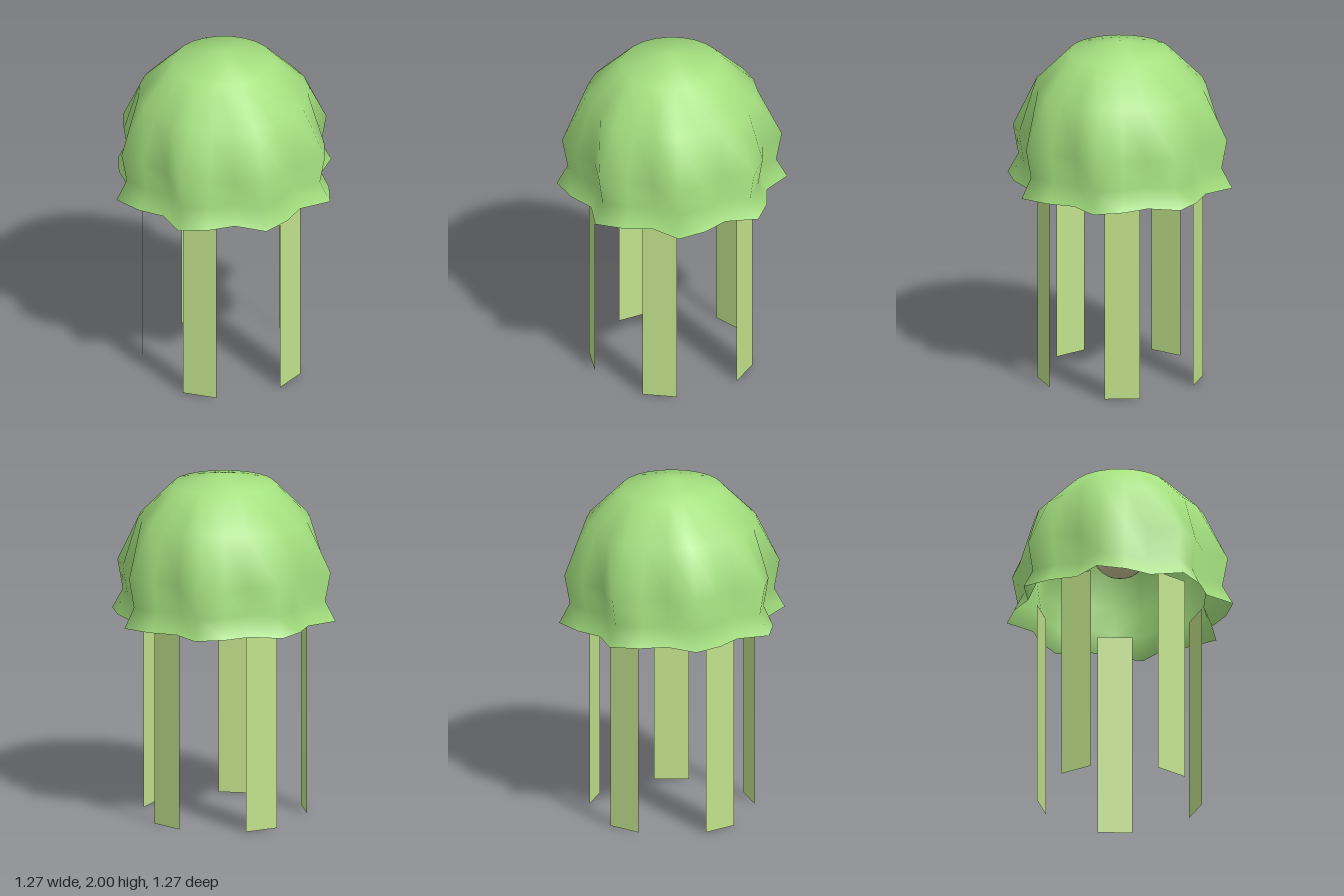
import * as THREE from 'three';
import { mergeVertices } from 'three/addons/utils/BufferGeometryUtils.js';

const bellGreen = new THREE.MeshStandardMaterial({ color: 0xa4e07f, side: THREE.DoubleSide });
bellGreen.name = 'bell green';
const tentacleGreen = new THREE.MeshStandardMaterial({ color: 0xc2e28c, side: THREE.DoubleSide });
tentacleGreen.name = 'tentacle green';
const coreBeige = new THREE.MeshStandardMaterial({ color: 0xccca98 });
coreBeige.name = 'core beige';

// Domed bell, open below, whose lower rings ripple into eight lobes
function bellGeometry() {
  const profile = [[0.606, 1.165], [0.549, 1.28], [0.578, 1.45], [0.49, 1.74], [0.29, 1.94], [0, 2]];
  let g = new THREE.LatheGeometry(profile.map(([r, y]) => new THREE.Vector2(r, y)), 24);
  const p = g.attributes.position;
  for (let i = 0; i < p.count; i++) {
    if (p.getY(i) > 1.6) continue;
    const ripple = 1 + 0.1 * Math.sin(8 * Math.atan2(p.getZ(i), p.getX(i)));
    p.setX(i, p.getX(i) * ripple);
    p.setZ(i, p.getZ(i) * ripple);
  }
  // Weld the seam so the shading runs smoothly all round
  g.deleteAttribute('uv');
  g.deleteAttribute('normal');
  g = mergeVertices(g, 1e-4);
  g.computeVertexNormals();
  return g;
}

export function createModel() {
  const model = new THREE.Group();
  model.name = 'jellyfish';

  const bell = new THREE.Mesh(bellGeometry(), bellGreen);
  bell.name = 'bell';
  model.add(bell);

  // Round core hanging inside the bell
  const core = new THREE.Mesh(new THREE.SphereGeometry(0.163, 24, 16), coreBeige);
  core.name = 'core';
  core.position.y = 1.56;
  model.add(core);

  // Five flat ribbon tentacles in a ring
  const length = 1.23, radius = 0.463;
  const ribbon = new THREE.PlaneGeometry(0.2, length);
  for (let i = 0; i < 5; i++) {
    const a = (i / 5) * Math.PI * 2;
    const tentacle = new THREE.Mesh(ribbon, tentacleGreen);
    tentacle.name = 'tentacle' + (i + 1);
    tentacle.position.set(radius * Math.cos(a), length / 2, radius * Math.sin(a));
    tentacle.rotation.y = Math.PI / 2 - a;
    model.add(tentacle);
  }
  return model;
}
